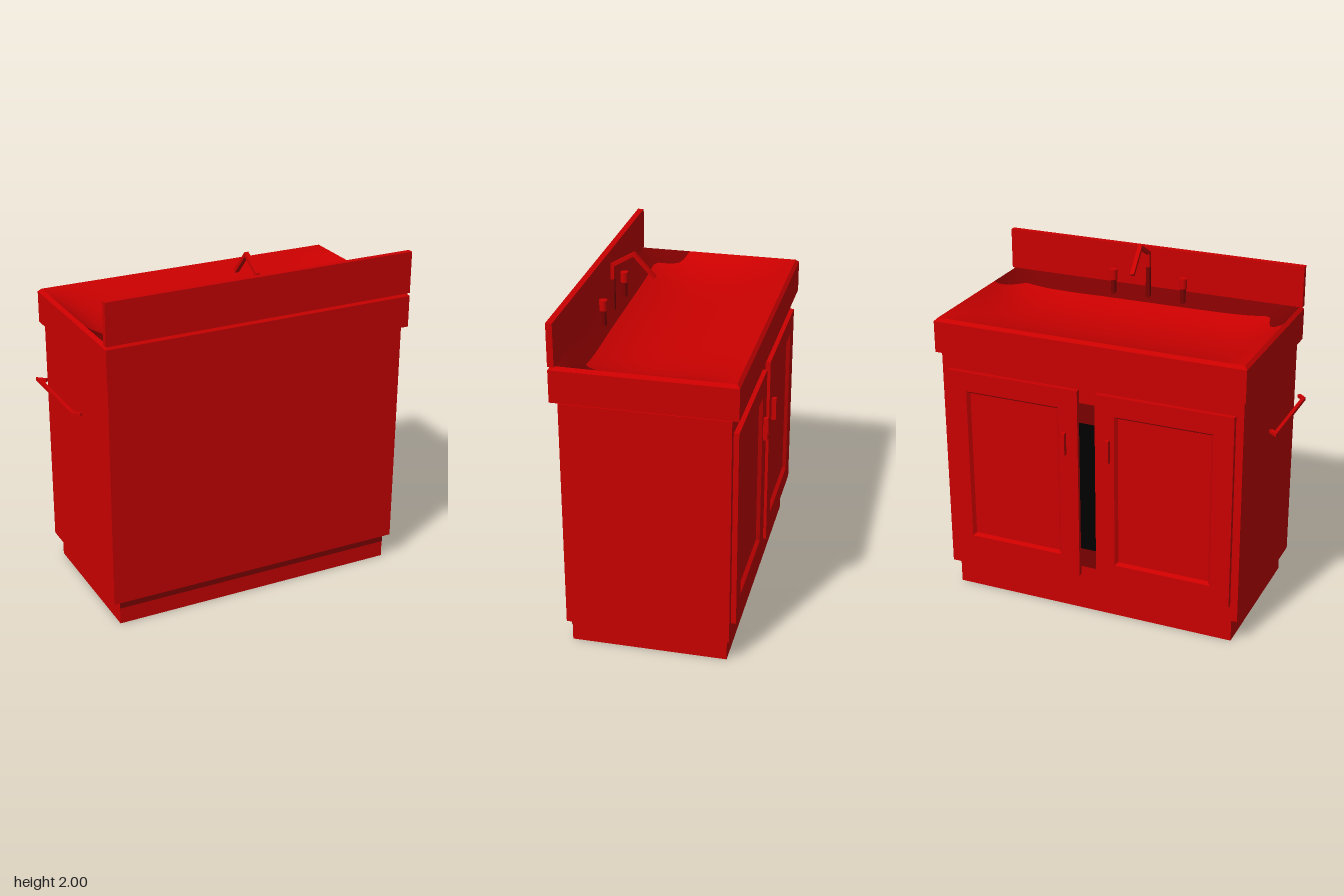
import * as THREE from 'three';

const CX = 0.0535; // middle of the cabinet across
const CZ = 0.0075; // middle of the cabinet in depth

// Solid through stacked rectangles [width, depth, height], optionally open on top
function loft(levels, closedTop = true) {
  const pos = [], idx = [];
  for (const [w, d, y] of levels) {
    for (const [sx, sz] of [[-1, 1], [1, 1], [1, -1], [-1, -1]]) pos.push(sx * w / 2, y, sz * d / 2);
  }
  for (let l = 0; l < levels.length - 1; l++) {
    for (let i = 0; i < 4; i++) {
      const a = l * 4 + i, b = l * 4 + (i + 1) % 4;
      idx.push(a, b, b + 4, a, b + 4, a + 4);
    }
  }
  const t = (levels.length - 1) * 4;
  idx.push(0, 2, 1, 0, 3, 2);
  if (closedTop) idx.push(t, t + 1, t + 2, t, t + 2, t + 3);
  let g = new THREE.BufferGeometry();
  g.setAttribute('position', new THREE.Float32BufferAttribute(pos, 3));
  g.setIndex(idx);
  g = g.toNonIndexed();
  g.computeVertexNormals();
  return g;
}

// Square bar following a bent path with mitred corners
function bentBar(path, thick, depth) {
  const p = path.map(([x, y]) => new THREE.Vector2(x, y));
  const normal = (a, b) => new THREE.Vector2(a.y - b.y, b.x - a.x).normalize();
  const offs = p.map((q, i) => {
    const n0 = normal(p[Math.max(i - 1, 0)], p[Math.max(i, 1)]);
    const n1 = normal(p[Math.min(i, p.length - 2)], p[Math.min(i + 1, p.length - 1)]);
    const m = n0.clone().add(n1).normalize();
    return m.multiplyScalar(thick / 2 / m.dot(n0));
  });
  const left = p.map((q, i) => q.clone().add(offs[i]));
  const right = p.map((q, i) => q.clone().sub(offs[i])).reverse();
  const g = new THREE.ExtrudeGeometry(new THREE.Shape([...left, ...right]), { depth, bevelEnabled: false });
  return g.translate(0, 0, -depth / 2);
}

// Shallow basin: rim rectangle, deepest line and depth
const BASIN = { x0: CX - 0.896, x1: CX + 0.896, z0: -0.472, z1: 0.487, low: 0.1, depth: 0.11, rim: 1.69 };

function basinHeight(x, z) {
  const u = (x - CX) / 0.896;
  const v = (z - BASIN.low) / (z < BASIN.low ? BASIN.low - BASIN.z0 : BASIN.z1 - BASIN.low);
  return BASIN.rim - BASIN.depth * (1 - v * v) * (1 - Math.abs(u) ** 6);
}

// Line across the basin where the darker back strip begins
const STRIP_EDGE = [
  [BASIN.x0, 0.18], [-0.78, 0.205], [-0.74, 0.24], [-0.715, 0.345], [-0.68, 0.365],
  [0.3, 0.36], [0.8, 0.35], [0.83, 0.335], [0.925, 0.205], [BASIN.x1, 0.2],
];

function stripEdge(x) {
  const i = Math.max(1, STRIP_EDGE.findIndex(([px]) => px >= x - 1e-6));
  const [ax, az] = STRIP_EDGE[i - 1], [bx, bz] = STRIP_EDGE[i];
  return az + (bz - az) * (x - ax) / (bx - ax);
}

// Part of the basin surface between two lines z = from(x) and z = to(x)
function basinSheet(from, to, rows) {
  const g = new THREE.PlaneGeometry(1, 1, 96, rows).rotateX(-Math.PI / 2);
  const p = g.attributes.position;
  for (let i = 0; i < p.count; i++) {
    const x = THREE.MathUtils.lerp(BASIN.x0, BASIN.x1, p.getX(i) + 0.5);
    const z = THREE.MathUtils.lerp(from(x), to(x), p.getZ(i) + 0.5);
    p.setXYZ(i, x, basinHeight(x, z), z);
  }
  g.computeVertexNormals();
  return g;
}

export function createModel() {
  const material = (name, color) => {
    const m = new THREE.MeshStandardMaterial({ color });
    m.name = name;
    return m;
  };
  const red = material('red', 0xca0000);
  const darkRed = material('darkRed', 0x7a0000);
  const black = material('black', 0x000000);

  const model = new THREE.Group();
  model.name = 'vanityCabinet';
  const add = (name, geo, x, y, z, mat = red) => {
    const m = new THREE.Mesh(geo, mat);
    m.name = name;
    m.position.set(x, y, z);
    model.add(m);
  };

  // Carcass, stacked from the floor up
  add('kickBase', new THREE.BoxGeometry(1.708, 0.143, 0.875), CX, 0.0715, CZ);
  add('kickStrip', new THREE.BoxGeometry(1.708, 0.045, 0.003), CX, 0.1205, 0.4462, darkRed);
  add('cabinetBody', loft([[1.79, 0.915, 0.143], [1.79, 0.915, 1.478], [1.765, 0.89, 1.49]]), CX, 0, CZ);
  add('countertop', loft([[1.828, 0.995, 1.49], [1.828, 0.995, 1.672], [1.792, 0.959, 1.69]], false), CX, 0, CZ);
  add('backsplash', new THREE.BoxGeometry(1.828, 0.24, 0.035), CX, 1.81, 0.4875);

  // Basin sunk into the countertop, with a darker strip along the backsplash
  add('basin', basinSheet(() => BASIN.z0, stripEdge, 24), 0, 0, 0);
  add('basinBackStrip', basinSheet(stripEdge, () => BASIN.z1, 10), 0, 0, 0, darkRed);

  // Opening between the doors with its rails above and below
  add('doorGapRails', new THREE.BoxGeometry(0.13, 1.02, 0.004), CX, 0.8, -0.4505, darkRed);
  add('doorGap', new THREE.BoxGeometry(0.13, 0.785, 0.004), CX, 0.8, -0.4525, black);

  // Doors with a recessed panel, and their pulls
  const doorGeo = loft([
    [0.8, 1.15, 0], [0.8, 1.15, 0.031], [0.57, 0.92, 0.031], [0.54, 0.89, 0.011],
  ]).rotateX(-Math.PI / 2);
  for (const [side, s] of [['left', 1], ['right', -1]]) {
    add(side + 'Door', doorGeo, CX + s * 0.452, 0.815, -0.4475);
    add(side + 'DoorPull', new THREE.BoxGeometry(0.022, 0.135, 0.03), CX + s * 0.132, 1.065, -0.49);
  }

  // Faucet: dark post carrying the bent spout
  add('faucetPost', new THREE.BoxGeometry(0.024, 0.2, 0.02), CX, 1.73, 0.41, darkRed);
  const spout = bentBar([[0.41, 1.83], [0.41, 1.913], [0.287, 1.985], [0.169, 1.855]], 0.02, 0.024);
  add('faucetSpout', spout.rotateY(-Math.PI / 2), CX, 0, 0);

  // Taps on either side of the spout
  for (const [side, s] of [['left', 1], ['right', -1]]) {
    add(side + 'TapStem', new THREE.CylinderGeometry(0.016, 0.016, 0.11, 16), CX + s * 0.218, 1.685, 0.405, darkRed);
    add(side + 'TapKnob', new THREE.CylinderGeometry(0.023, 0.023, 0.06, 16), CX + s * 0.218, 1.76, 0.405);
  }

  // Towel rail beside the cabinet
  const rail = bentBar([[-0.922, -0.235], [-0.958, -0.265], [-0.958, 0.245], [-0.922, 0.278]], 0.02, 0.018);
  add('towelRail', rail.rotateX(Math.PI / 2), 0, 1.237, 0);

  return model;
}
